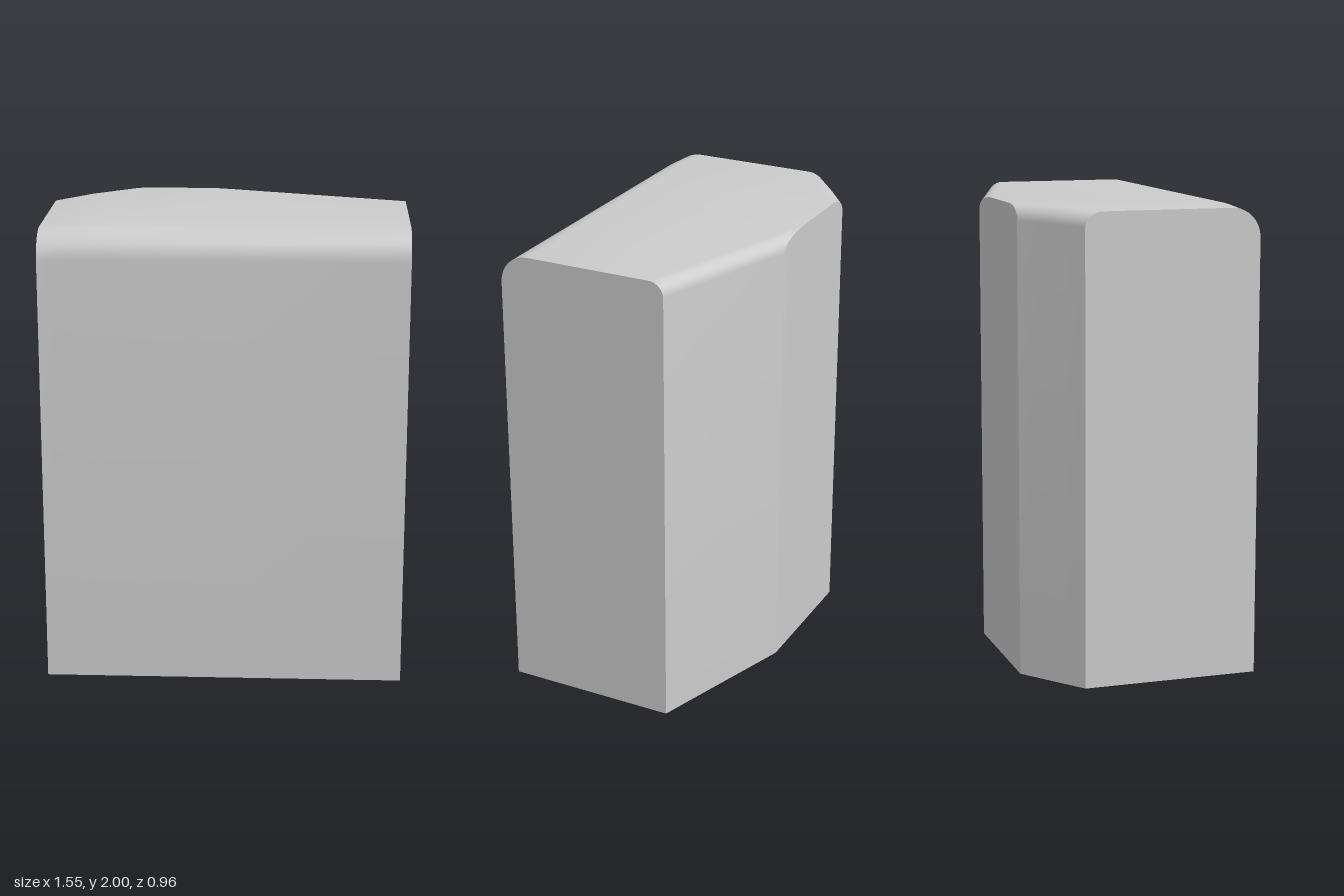
import * as THREE from 'three';
import { toCreasedNormals } from 'three/addons/utils/BufferGeometryUtils.js';

const H = 2, FRONT = 0.48, BACK = -0.483;
const R_FRONT = 0.125, R_BACK = 0.063, STEPS = 8;

// slanted back walls, each through two plan points (x, z)
const wall = (x0, z0, x1, z1) => {
  const slope = (z1 - z0) / (x1 - x0);
  return { z: x => z0 + slope * (x - x0), n: 1 / Math.hypot(1, slope) };
};
const rightWall = wall(-0.778, -0.277, -0.505, BACK);
const leftWall = wall(0.11, BACK, 0.776, -0.267);

// closed outline of the body at one x, from front bottom over the top to back bottom
function section(x) {
  const w = x < -0.2 ? rightWall : leftWall;
  const drop = 0.01 * Math.max(0, (-0.62 - x) / 0.158); // slight fall of the top at the right end
  const pts = [[FRONT, 0]];
  for (let i = 0; i <= STEPS; i++) {
    const a = (i / STEPS) * Math.PI / 2;
    pts.push([FRONT - R_FRONT * (1 - Math.cos(a)), H - drop - R_FRONT * (1 - Math.sin(a))]);
  }
  for (let i = STEPS; i >= 0; i--) {
    const a = (i / STEPS) * Math.PI / 2;
    const z = Math.max(w.z(x) + R_BACK * (1 - Math.cos(a)) / w.n, BACK);
    const d = Math.min(R_BACK, Math.max(0, (z - w.z(x)) * w.n)); // distance inside the slanted wall
    const y = H - drop - R_BACK + Math.sqrt(Math.max(0, R_BACK ** 2 - (R_BACK - d) ** 2));
    pts.push([z, y]);
  }
  pts.push([Math.max(w.z(x), BACK), 0]);
  return pts.map(([z, y]) => new THREE.Vector3(x, y, z));
}

function bodyGeometry() {
  const xs = [-0.778, -0.7, -0.62, -0.505, -0.485, -0.465, -0.44, -0.4,
    -0.1, -0.05, 0, 0.04, 0.08, 0.11, 0.776];
  const rings = xs.map(section);
  const pos = [];
  const tri = (a, b, c) => {
    const area = b.clone().sub(a).cross(c.clone().sub(a)).length();
    if (area > 1e-8) for (const p of [a, b, c]) pos.push(p.x, p.y, p.z);
  };
  // skin between neighbouring sections
  const n = rings[0].length;
  for (let i = 0; i < rings.length - 1; i++) {
    for (let j = 0; j < n; j++) {
      const k = (j + 1) % n;
      const a = rings[i][j], b = rings[i + 1][j], c = rings[i + 1][k], d = rings[i][k];
      tri(a, b, c);
      tri(a, c, d);
    }
  }
  // flat ends
  const first = rings[0], last = rings[rings.length - 1];
  for (let j = 1; j < n - 1; j++) {
    tri(first[0], first[j], first[j + 1]);
    tri(last[0], last[j + 1], last[j]);
  }
  const geo = new THREE.BufferGeometry();
  geo.setAttribute('position', new THREE.Float32BufferAttribute(pos, 3));
  return toCreasedNormals(geo, 0.27);
}

export function createModel() {
  const group = new THREE.Group();
  const body = new THREE.Mesh(bodyGeometry(), new THREE.MeshStandardMaterial({ color: 0xcccccc }));
  body.name = 'body';
  group.add(body);
  return group;
}
